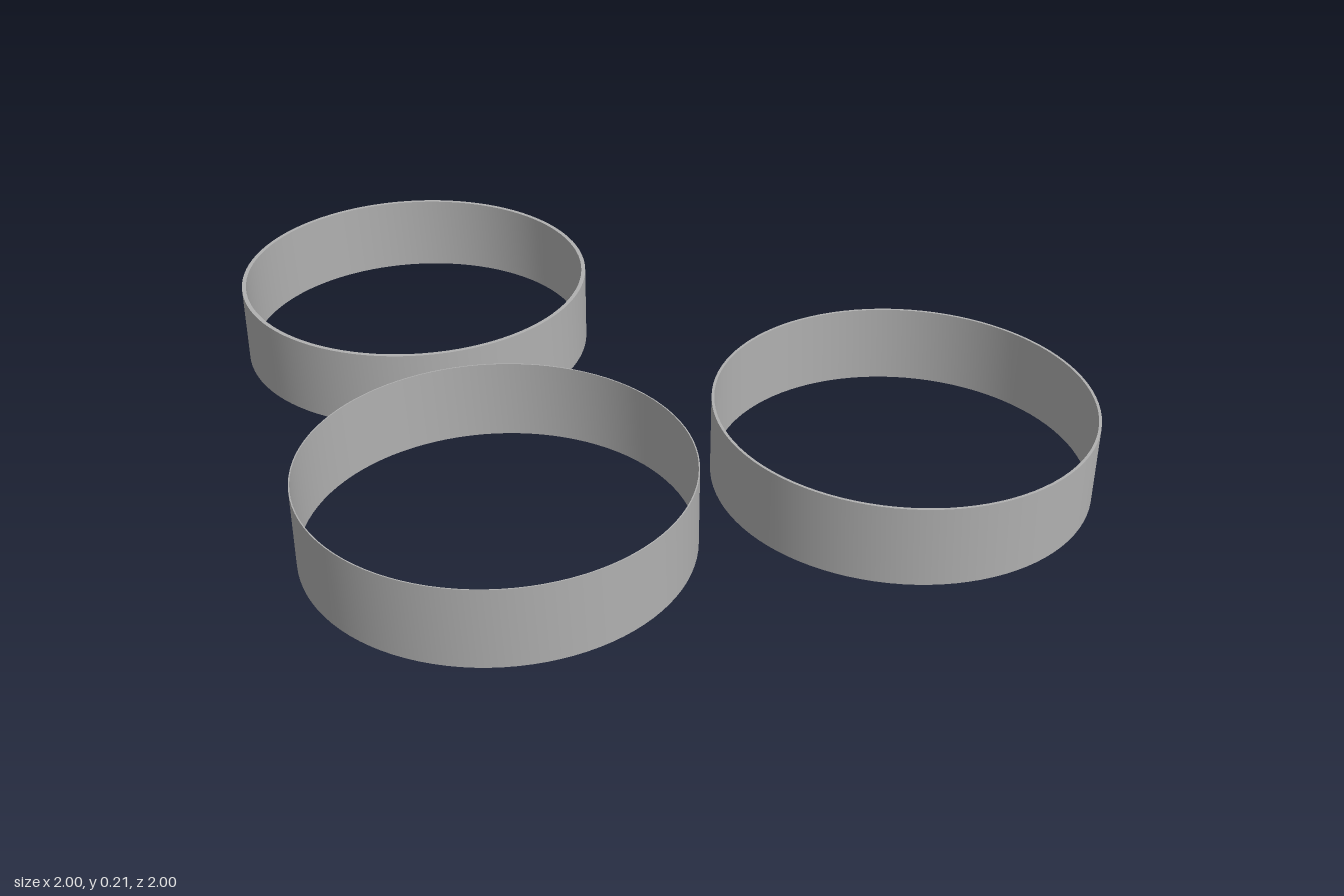
import * as THREE from 'three';
import { toCreasedNormals } from 'three/addons/utils/BufferGeometryUtils.js';

const RADIUS = 0.48, HEIGHT = 0.21, OFFSET = 0.52;

// Upright hollow band with the given wall thickness, standing on y = 0
function bandGeometry(wall) {
  const outline = new THREE.Shape().absarc(0, 0, RADIUS, 0, Math.PI * 2, false);
  outline.holes.push(new THREE.Path().absarc(0, 0, RADIUS - wall, 0, Math.PI * 2, true));
  const geometry = new THREE.ExtrudeGeometry(outline, {
    depth: HEIGHT, bevelEnabled: false, curveSegments: 48,
  });
  geometry.rotateX(-Math.PI / 2);
  return toCreasedNormals(geometry, Math.PI / 6);
}

export function createModel() {
  const model = new THREE.Group();
  model.name = 'ringSet';

  const grey = new THREE.MeshStandardMaterial({ color: 0xb0b0b0 });
  grey.name = 'grey';

  // Three equal rings on an L-shaped layout, differing in wall thickness
  const rings = [
    ['thickRing', -OFFSET, -OFFSET, 0.011],
    ['mediumRing', OFFSET, OFFSET, 0.007],
    ['thinRing', -OFFSET, OFFSET, 0.003],
  ];
  for (const [name, x, z, wall] of rings) {
    const ring = new THREE.Mesh(bandGeometry(wall), grey);
    ring.name = name;
    ring.position.set(x, 0, z);
    model.add(ring);
  }
  return model;
}
